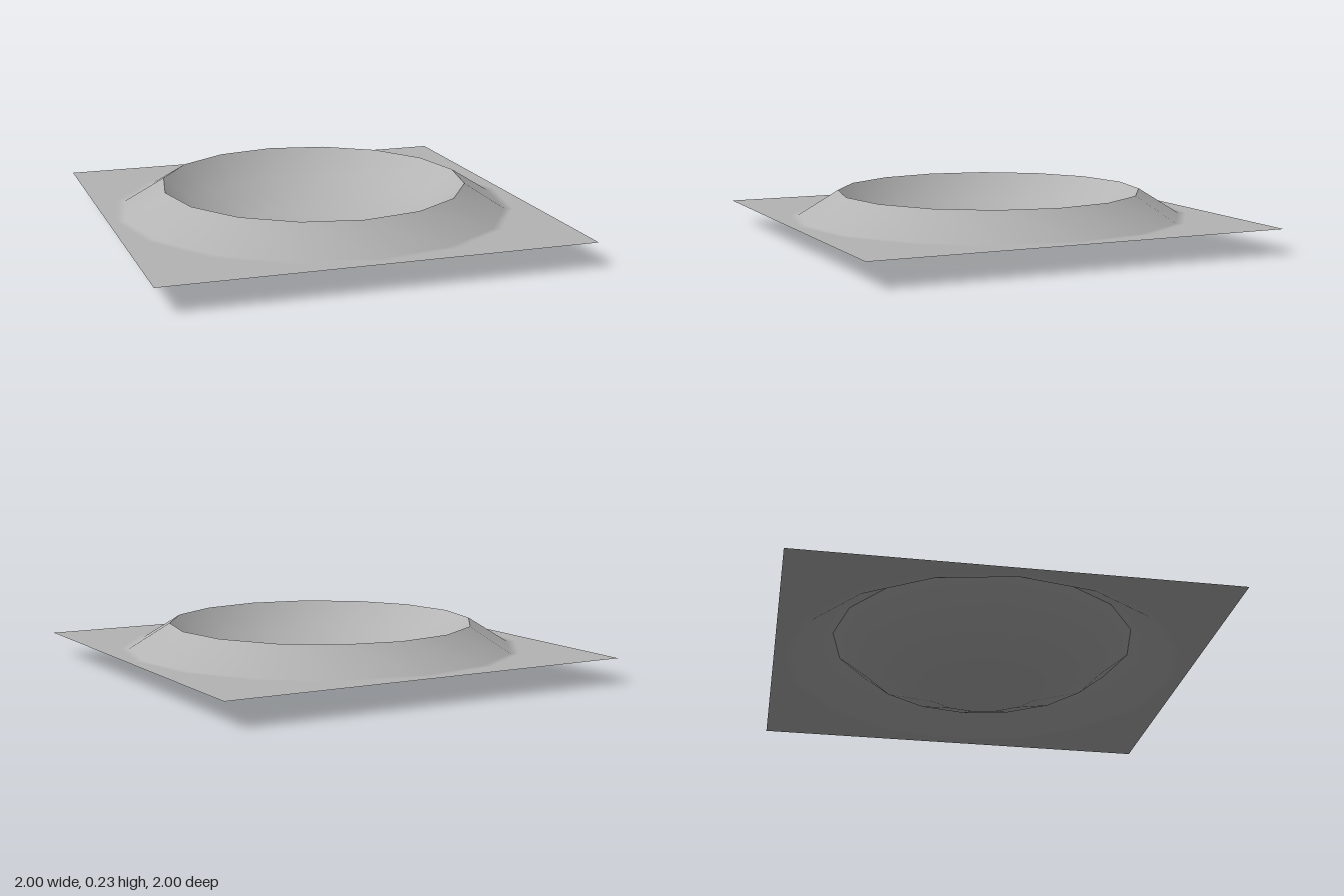
import * as THREE from 'three';

const SIDES = 16;
const GROUND_Y = 0.11;
const SKIRT_R = 0.96;

export function createModel() {
  const group = new THREE.Group();
  group.name = 'crater';
  const stone = new THREE.MeshStandardMaterial({ color: 0xb4b4b4, side: THREE.DoubleSide });
  stone.name = 'grey stone';

  const add = (name, geometry) => {
    const mesh = new THREE.Mesh(geometry, stone);
    mesh.name = name;
    group.add(mesh);
  };
  // Profiles run from the outside inwards, so the surfaces face up
  const ring = (points) =>
    new THREE.LatheGeometry(points.map(([r, y]) => new THREE.Vector2(r, y)), SIDES);

  // Flat square sheet with a sixteen-sided opening
  const sheet = new THREE.Shape([[-1, -1], [1, -1], [1, 1], [-1, 1]].map(([x, y]) => new THREE.Vector2(x, y)));
  const opening = [];
  for (let i = 0; i < SIDES; i++) {
    const a = (i / SIDES) * Math.PI * 2;
    opening.push(new THREE.Vector2(Math.cos(a) * SKIRT_R, Math.sin(a) * SKIRT_R));
  }
  sheet.holes.push(new THREE.Path(opening));
  add('ground', new THREE.ShapeGeometry(sheet).rotateX(-Math.PI / 2).translate(0, GROUND_Y, 0));

  // Raised slope, blending softly into the ground
  add('outerSlope', ring([[SKIRT_R, GROUND_Y], [0.92, GROUND_Y], [0.727, 0.23]]));

  // Sunken bowl, meeting the slope at a sharp rim
  add('bowl', ring([[0.727, 0.23], [0.58, GROUND_Y], [0.3, 0], [0, 0]]));

  return group;
}
